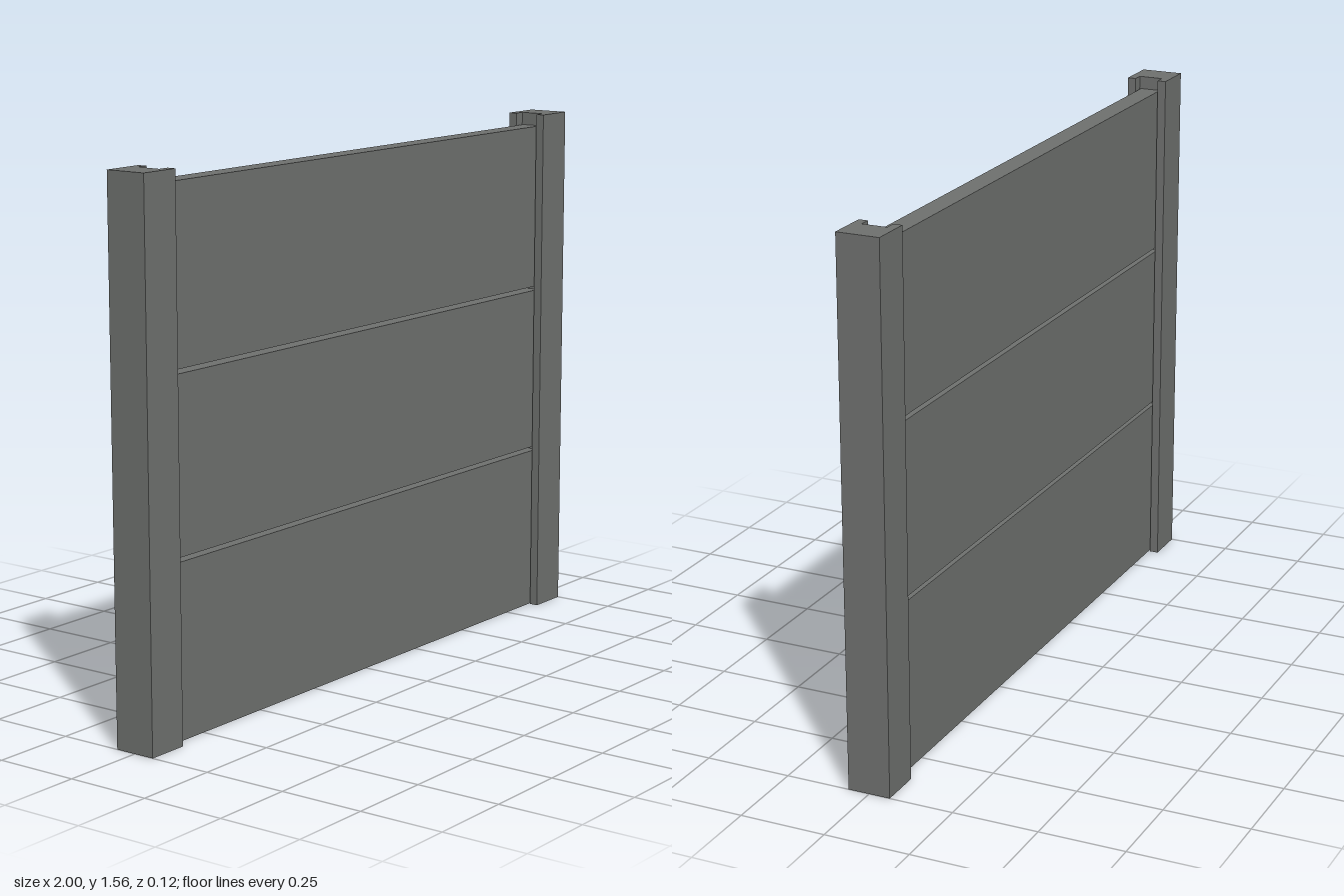
import * as THREE from 'three';

export function createModel() {
  const group = new THREE.Group();
  const grey = new THREE.MeshStandardMaterial({ color: 0x6e706e });
  grey.name = 'concrete grey';

  // Slotted post profile (x, depth), with the slot on the inner face
  const inner = 0.875, slotEnd = 0.908, half = 0.0625, slotHalf = 0.0365, height = 1.5625;
  const profile = [
    [inner, -half], [1, -half], [1, half], [inner, half],
    [inner, slotHalf], [slotEnd, slotHalf], [slotEnd, -slotHalf], [inner, -slotHalf],
  ];
  for (const [side, name] of [[1, 'leftPost'], [-1, 'rightPost']]) {
    const shape = new THREE.Shape(profile.map(([x, z]) => new THREE.Vector2(side * x, z)));
    const geometry = new THREE.ExtrudeGeometry(shape, { depth: height, bevelEnabled: false });
    geometry.rotateX(-Math.PI / 2);
    const post = new THREE.Mesh(geometry, grey);
    post.name = name;
    group.add(post);
  }

  // Three boards held in the slots, with narrow gaps between them
  const boardHeight = 0.5, gap = 0.0125;
  for (let i = 0; i < 3; i++) {
    const board = new THREE.Mesh(new THREE.BoxGeometry(2 * 0.906, boardHeight, 0.0625), grey);
    board.position.y = boardHeight / 2 + i * (boardHeight + gap);
    board.name = `fenceBoard${i + 1}`;
    group.add(board);
  }
  return group;
}
